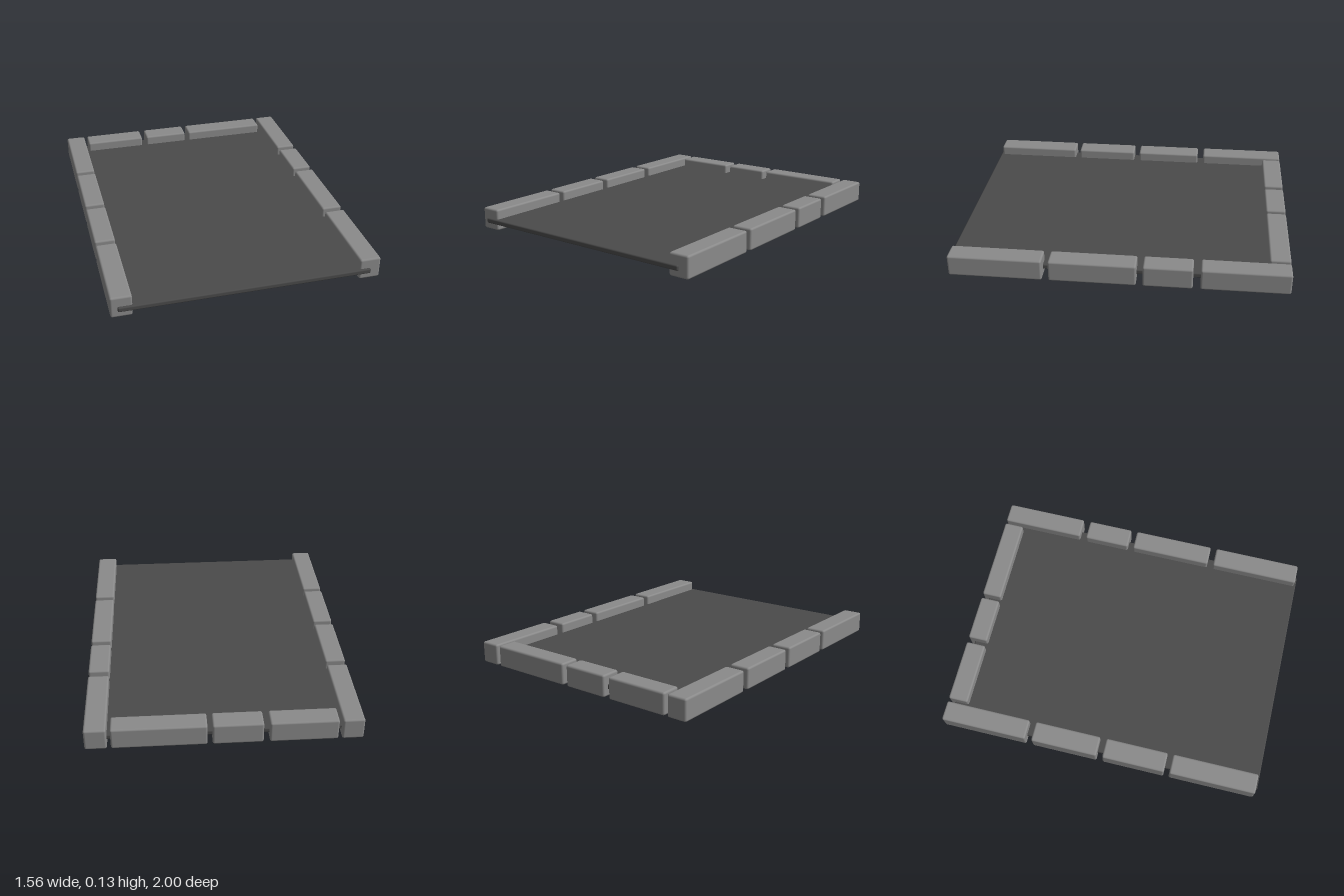
import * as THREE from 'three';
import { RoundedBoxGeometry } from 'three/addons/geometries/RoundedBoxGeometry.js';

const stoneMaterial = new THREE.MeshStandardMaterial({ color: 0x8a8a8a });
const floorMaterial = new THREE.MeshStandardMaterial({ color: 0x4a4a4a });

// Softly rounded block spanning the given ranges
function block(name, [x0, x1], [y0, y1], [z0, z1], radius, material) {
  const geometry = new RoundedBoxGeometry(x1 - x0, y1 - y0, z1 - z0, 2, radius);
  const mesh = new THREE.Mesh(geometry, material);
  mesh.position.set((x0 + x1) / 2, (y0 + y1) / 2, (z0 + z1) / 2);
  mesh.name = name;
  return mesh;
}

export function createModel() {
  const model = new THREE.Group();
  model.name = 'borderedBed';

  // Thin floor slab running through the middle of the border stones
  model.add(block('floorSlab', [-0.74, 0.72], [0.04, 0.07], [-0.965, 1], 0.008, floorMaterial));

  const height = [0, 0.13];
  const stone = (name, xs, zs) => block(name, xs, height, zs, 0.012, stoneMaterial);

  // Border stones along the left side
  const left = new THREE.Group();
  left.name = 'leftBorder';
  [[-1, -0.485], [-0.442, -0.153], [-0.115, 0.395], [0.433, 0.987]].forEach((zs, i) =>
    left.add(stone(`leftStone${i + 1}`, [0.655, 0.78], zs)));

  // Border stones along the right side
  const right = new THREE.Group();
  right.name = 'rightBorder';
  [[-1, -0.463], [-0.423, -0.008], [0.03, 0.42], [0.453, 0.987]].forEach((zs, i) =>
    right.add(stone(`rightStone${i + 1}`, [-0.78, -0.657], zs)));

  // Border stones across the back
  const back = new THREE.Group();
  back.name = 'backBorder';
  [[-0.637, -0.25], [-0.216, 0.07], [0.098, 0.634]].forEach((xs, i) =>
    back.add(stone(`backStone${i + 1}`, xs, [-1, -0.877])));

  model.add(left, right, back);
  return model;
}
